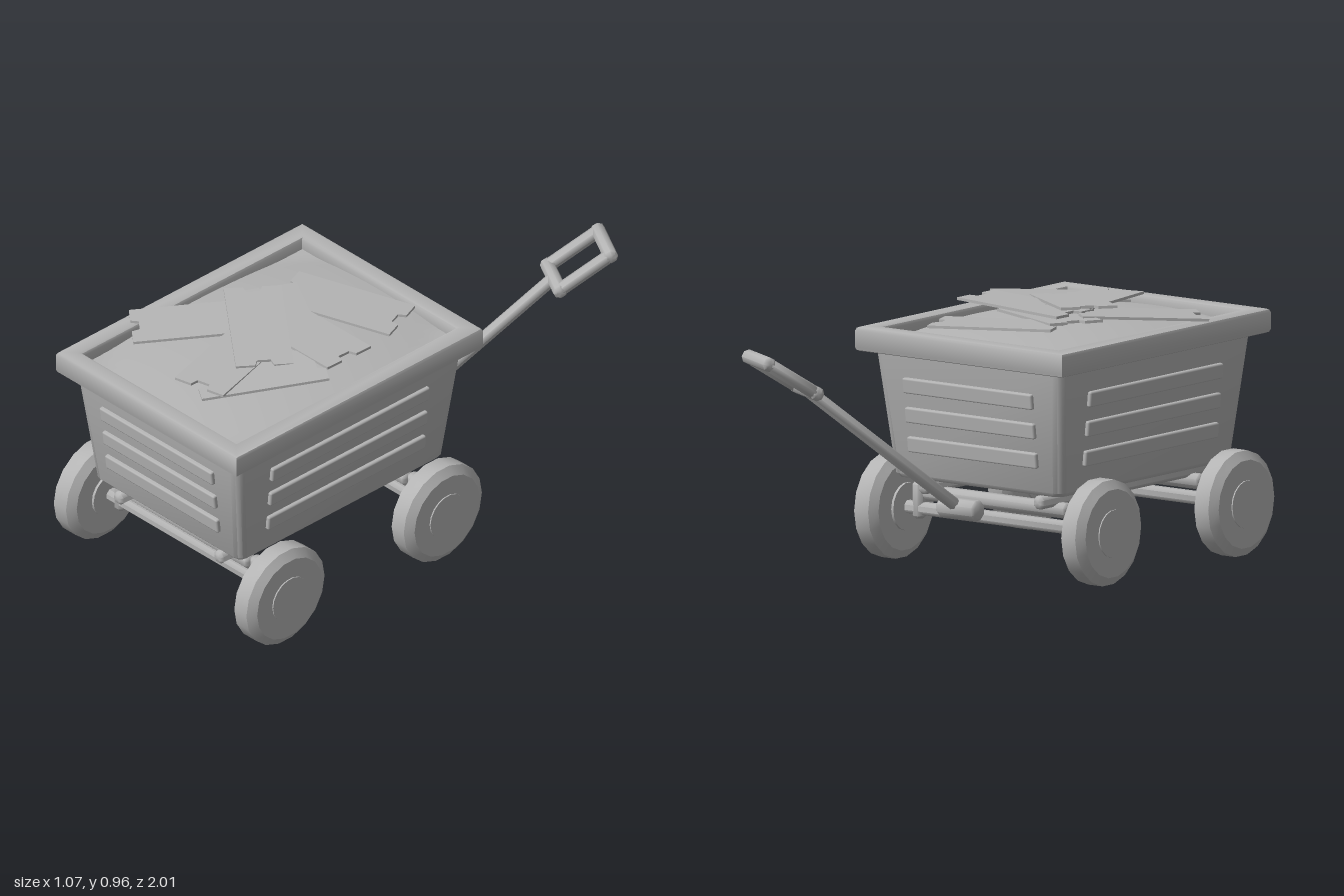
import * as THREE from 'three';
import { toCreasedNormals } from 'three/addons/utils/BufferGeometryUtils.js';
import { RoundedBoxGeometry } from 'three/addons/geometries/RoundedBoxGeometry.js';

const CZ = 0.38; // middle of the tub along z
const V = (x, y, z) => new THREE.Vector3(x, y, z);

export function createModel() {
  const root = new THREE.Group();
  const grey = new THREE.MeshStandardMaterial({ color: 0xb4b4b4 });
  grey.name = 'plain grey';

  function add(name, geometry, parent = root) {
    const mesh = new THREE.Mesh(geometry, grey);
    mesh.name = name;
    parent.add(mesh);
    return mesh;
  }

  // Chamfered octagonal bar between two points
  function bar(name, a, b, r, bevel = 0.01) {
    const h = a.distanceTo(b) / 2;
    const profile = [[0, -h], [r - bevel, -h], [r, -h + bevel], [r, h - bevel], [r - bevel, h], [0, h]]
      .map(([x, y]) => new THREE.Vector2(x, y));
    const mesh = add(name, toCreasedNormals(new THREE.LatheGeometry(profile, 8, Math.PI / 8), 0.9));
    mesh.position.copy(a).add(b).multiplyScalar(0.5);
    mesh.quaternion.setFromUnitVectors(V(0, 1, 0), b.clone().sub(a).normalize());
    return mesh;
  }

  // Rounded rectangle sections stacked from bottom to top, capped at both ends
  function loft(levels) {
    const pos = [], index = [], steps = 4, n = 4 * steps;
    for (const [y, hx, hz, r] of levels) {
      for (let i = 0; i < n; i++) {
        const corner = Math.floor(i / steps);
        const a = (corner + (i % steps) / (steps - 1)) * Math.PI / 2;
        const sx = corner === 0 || corner === 3 ? 1 : -1, sz = corner < 2 ? 1 : -1;
        pos.push(sx * (hx - r) + r * Math.cos(a), y, sz * (hz - r) + r * Math.sin(a));
      }
    }
    for (let l = 0; l < levels.length - 1; l++) {
      for (let i = 0; i < n; i++) {
        const a = l * n + i, b = l * n + (i + 1) % n;
        index.push(a, a + n, b, b, a + n, b + n);
      }
    }
    const top = (levels.length - 1) * n;
    for (let i = 1; i < n - 1; i++) index.push(0, i, i + 1, top, top + i + 1, top + i);
    const g = new THREE.BufferGeometry();
    g.setAttribute('position', new THREE.Float32BufferAttribute(pos, 3));
    g.setIndex(index);
    return toCreasedNormals(g, 0.7);
  }

  // Tapered tub
  add('tub', loft([
    [0.325, 0.372, 0.497, 0.03], [0.34, 0.386, 0.511, 0.035], [0.81, 0.43, 0.57, 0.035],
  ])).position.z = CZ;

  // Rim frame around the top
  const rect = (S, w, h) => new S([[-w, -h], [w, -h], [w, h], [-w, h]].map(([x, y]) => new THREE.Vector2(x, y)));
  const rimShape = rect(THREE.Shape, 0.475, 0.615);
  rimShape.holes.push(rect(THREE.Path, 0.402, 0.545));
  const rimGeo = new THREE.ExtrudeGeometry(rimShape, {
    depth: 0.062, bevelSize: 0.014, bevelThickness: 0.014, bevelOffset: -0.014, bevelSegments: 2,
  });
  rimGeo.rotateX(-Math.PI / 2);
  add('rim', toCreasedNormals(rimGeo, 0.6)).position.set(0, 0.804, CZ);

  // Raised slats, three on each wall
  for (let side = 0; side < 4; side++) {
    const end = side % 2 === 0;
    const wall = new THREE.Group();
    wall.name = 'wallSlats';
    wall.position.z = CZ;
    wall.rotation.y = side * Math.PI / 2;
    root.add(wall);
    for (const y of [0.457, 0.567, 0.677]) {
      const t = (y - 0.34) / 0.47;
      const slat = add('slat', new RoundedBoxGeometry(end ? 0.592 : 0.785, 0.058, 0.03, 1, 0.007), wall);
      slat.position.set(0, y, end ? 0.511 + 0.059 * t : 0.386 + 0.044 * t);
      slat.rotation.x = end ? 0.125 : 0.094;
    }
  }

  // Gently domed filling with flat corners
  const mound = new THREE.PlaneGeometry(0.83, 1.11, 24, 24);
  mound.rotateX(-Math.PI / 2);
  const p = mound.attributes.position;
  for (let i = 0; i < p.count; i++) {
    const d = (p.getX(i) / 0.415) ** 2 + (p.getZ(i) / 0.555) ** 2;
    p.setY(i, 0.83 + 0.057 * Math.max(0, 1 - d / 1.5));
  }
  mound.computeVertexNormals();
  add('filling', mound).position.z = CZ;

  // Notched tickets: x, y, z, turn in degrees, slope along the length
  const outline = [[-0.235, -0.105], [0.235, -0.105], [0.235, -0.035], [0.205, -0.025], [0.205, 0.025], [0.235, 0.035],
    [0.235, 0.105], [-0.235, 0.105], [-0.235, 0.035], [-0.205, 0.025], [-0.205, -0.025], [-0.235, -0.035]];
  const ticketGeo = new THREE.ExtrudeGeometry(
    new THREE.Shape(outline.map(([x, y]) => new THREE.Vector2(x, y))), { depth: 0.01, bevelEnabled: false });
  const tickets = [
    [0.035, 0.893, 0.04, 20, -0.02], [-0.01, 0.896, 0.29, -28, -0.04], [-0.25, 0.896, 0.51, 51, 0.06],
    [0.175, 0.909, 0.59, 57, 0.07], [0.03, 0.913, 0.58, -77, -0.03], [0.11, 0.922, 0.3, -2, 0.04],
    [-0.025, 0.934, 0.41, -38, -0.06],
  ];
  for (const [x, y, z, turn, slope] of tickets) {
    const ticket = add('ticket', ticketGeo);
    ticket.position.set(x, y, z);
    ticket.rotation.set(-Math.PI / 2, turn * Math.PI / 180, slope, 'YZX');
  }

  // Wheels with hubs, axles, cross beams and brackets
  const wheelProfile = [[0, -0.065], [0.088, -0.065], [0.088, -0.055], [0.163, -0.055], [0.195, -0.032],
    [0.195, 0.032], [0.163, 0.055], [0.088, 0.055], [0.088, 0.06], [0, 0.06]].map(([x, y]) => new THREE.Vector2(x, y));
  const wheelGeo = toCreasedNormals(new THREE.LatheGeometry(wheelProfile, 18), 0.45);
  wheelGeo.rotateZ(-Math.PI / 2);
  for (const z of [0.78, -0.005]) {
    bar('axle', V(-0.43, 0.195, z), V(0.43, 0.195, z), 0.025);
    bar('crossBeam', V(-0.33, 0.256, z), V(0.33, 0.256, z), 0.03);
    for (const s of [-1, 1]) {
      const wheel = add('wheel', wheelGeo);
      wheel.position.set(s * 0.475, 0.195, z);
      if (s < 0) wheel.rotation.y = Math.PI;
      bar('axleBracket', V(s * 0.358, 0.158, z), V(s * 0.358, 0.293, z), 0.026);
    }
  }

  // Long rails under the tub
  for (const s of [-1, 1]) bar('rail', V(s * 0.264, 0.293, -0.11), V(s * 0.264, 0.293, 0.89), 0.026);

  // Pull handle: pivot, shaft and square grip
  bar('handlePivot', V(-0.088, 0.26, -0.225), V(0.088, 0.26, -0.225), 0.04);
  const near = V(0.268, 0.745, -0.785), far = V(0.36, 0.865, -0.95);
  bar('handleShaft', V(0, 0.26, -0.225), near, 0.024);
  const across = V(0.88, 0, 0.48).multiplyScalar(0.082);
  const overhang = across.clone().multiplyScalar(1.28);
  for (const end of [near, far]) bar('gripCrossbar', end.clone().sub(overhang), end.clone().add(overhang), 0.027);
  for (const s of [-1, 1]) {
    const shift = across.clone().multiplyScalar(s);
    bar('gripSide', near.clone().add(shift), far.clone().add(shift), 0.025);
  }
  return root;
}
